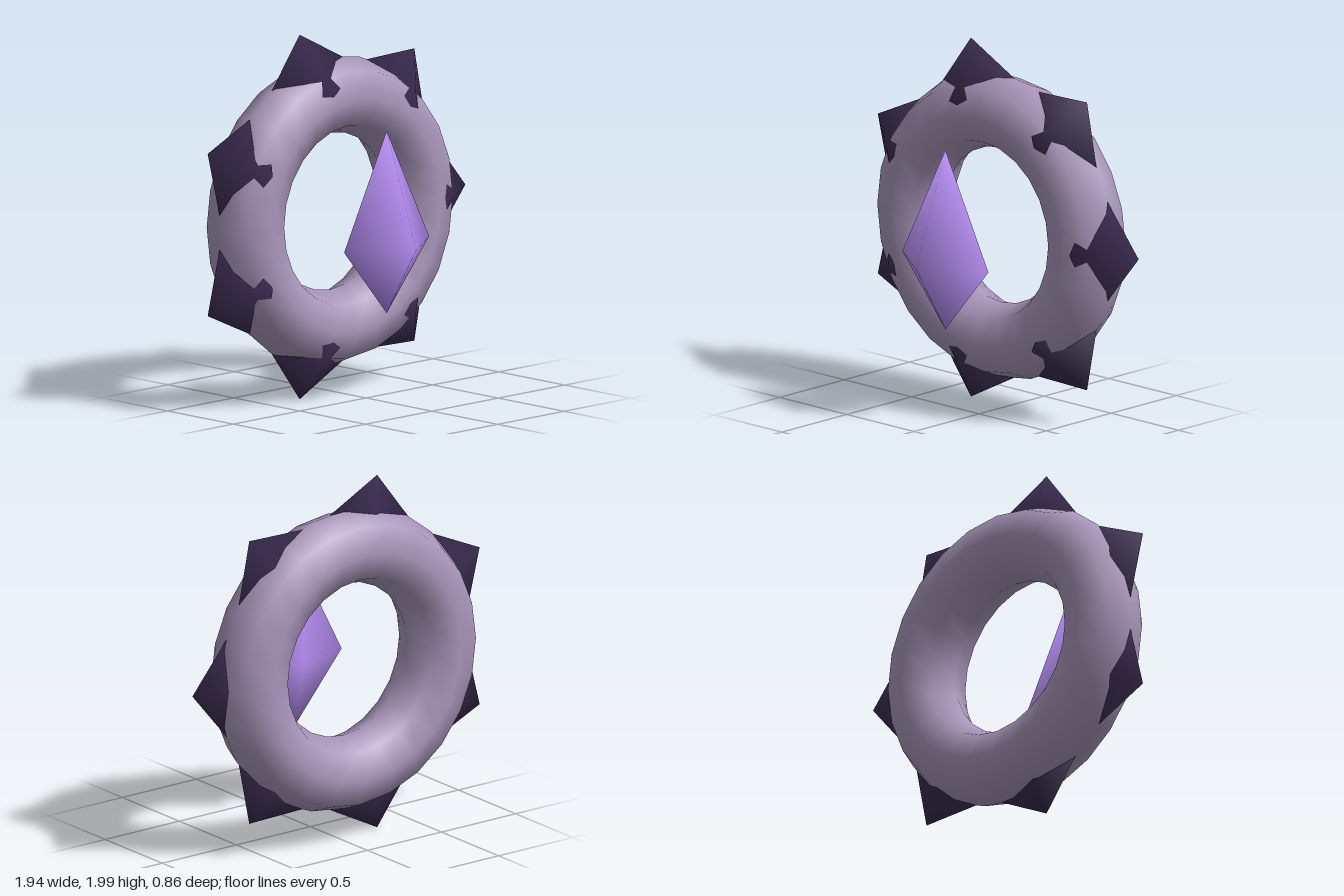
import * as THREE from 'three';

// Smooth-shaded kite-shaped gem with its widest section at the local origin
function gemGeometry(width, up, down, front, back) {
  const geometry = new THREE.BufferGeometry();
  geometry.setAttribute('position', new THREE.Float32BufferAttribute([
    width, 0, 0, -width, 0, 0, 0, up, 0, 0, -down, 0, 0, 0, front, 0, 0, -back,
  ], 3));
  const index = [];
  for (const x of [0, 1]) for (const y of [2, 3]) for (const z of [4, 5]) {
    // Mirrored octants need the opposite winding
    index.push(...((x + y + z) % 2 === 0 ? [x, y, z] : [x, z, y]));
  }
  geometry.setIndex(index);
  geometry.computeVertexNormals();
  return geometry;
}

export function createModel() {
  const model = new THREE.Group();
  model.name = 'spikedRing';
  const material = (color) => new THREE.MeshStandardMaterial({ color });
  const add = (parent, name, geometry, mat) => {
    const mesh = new THREE.Mesh(geometry, mat);
    mesh.name = name;
    parent.add(mesh);
    return mesh;
  };

  // Ring with its spikes, standing upright behind the gem
  const ringGroup = new THREE.Group();
  ringGroup.name = 'ringWithSpikes';
  ringGroup.position.set(-0.05, 1, -0.225);
  model.add(ringGroup);
  add(ringGroup, 'ring', new THREE.TorusGeometry(0.635, 0.207, 8, 24), material(0xa896ba));

  // Seven spikes pointing outward, partly sunk into the ring
  const spikeGeometry = gemGeometry(0.37, 0.31, 0.19, 0.212, 0.085);
  const spikeMaterial = material(0x3a2c50);
  for (let i = 0; i < 7; i++) {
    const angle = (i / 7) * Math.PI * 2;
    const spike = add(ringGroup, 'spike', spikeGeometry, spikeMaterial);
    spike.position.set(Math.cos(angle) * 0.71, Math.sin(angle) * 0.71, 0);
    spike.rotation.z = angle - Math.PI / 2;
  }

  // Floating gem in front of the opening
  const gem = add(model, 'gem', gemGeometry(0.32, 0.62, 0.375, 0.225, 0.09), material(0xb990f8));
  gem.position.set(-0.05, 0.88, 0.207);
  return model;
}
